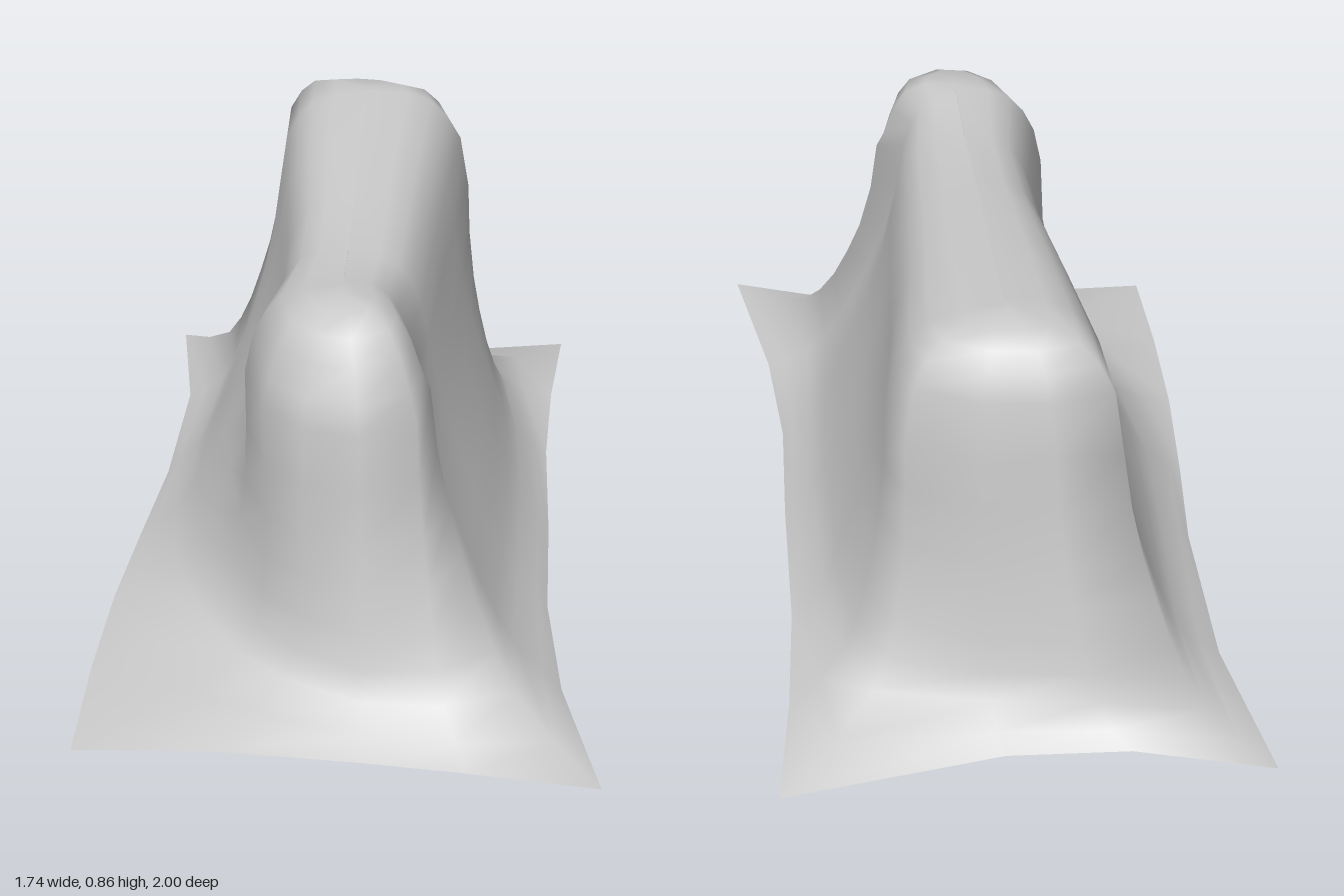
import * as THREE from 'three';
import { mergeVertices } from 'three/addons/utils/BufferGeometryUtils.js';

// Columns round the cloth: hem x, hem z, body x, body z, flare
// (flare above 1 hugs the body, below 1 slopes out to the hem)
const COLUMNS = [
  [0.09, -1.0, 0.19, -0.64, 1], [0.28, -0.79, 0.31, -0.58, 1],
  [0.47, -0.63, 0.41, -0.49, 1.3], [0.87, -0.43, 0.485, -0.36, 2.1],
  [0.7, -0.24, 0.45, -0.26, 1.3], [0.54, -0.04, 0.3, -0.095, 0.7],
  [0.35, 0.23, 0.14, 0.095, 0.6], [0.18, 0.46, -0.01, 0.275, 0.6],
  [0.04, 0.7, -0.11, 0.37, 0.7], [-0.09, 1.0, -0.14, 0.48, 1.1],
  [-0.26, 0.81, -0.21, 0.54, 1], [-0.42, 0.68, -0.33, 0.53, 1.3],
  [-0.65, 0.5, -0.405, 0.45, 2.6], [-0.87, 0.35, -0.425, 0.34, 3.4],
  [-0.73, 0.15, -0.39, 0.21, 2.1], [-0.58, -0.05, -0.25, 0.08, 0.85],
  [-0.42, -0.24, -0.14, -0.08, 0.6], [-0.26, -0.42, -0.03, -0.28, 0.6],
  [-0.05, -0.71, 0.09, -0.49, 0.8],
];
// Skirt levels: height, spread towards the hem
const SKIRT = [[0, 1], [0.025, 0.77], [0.07, 0.56], [0.13, 0.44], [0.2, 0.34],
  [0.29, 0.24], [0.38, 0.15], [0.5, 0.06], [0.62, 0]];
// Crown levels: drop below the ridge, shrink towards the ridge
const CROWN = [[0.11, 0.09], [0.06, 0.22], [0.025, 0.38], [0.006, 0.62], [0, 1]];

// Ridge line that the crown closes onto
const ridge = new THREE.Line3(new THREE.Vector3(-0.25, 0, 0.34), new THREE.Vector3(0.27, 0, -0.4));
const ridgeHeight = (t) => 0.798 + 0.062 * t + 0.03 * Math.max(0, 1 - t / 0.2);
const flareOut = (s, k) => (k >= 1 ? Math.pow(s, k) : 1 - Math.pow(1 - s, 1 / k));

function drapeGeometry() {
  const positions = [], index = [], n = COLUMNS.length;
  // Hem lies almost flat, with one lifted corner and one touching the floor
  const hem = (i) => (i === 9 ? 0.033 : i === 0 ? 0 : 0.012 + 0.004 * Math.sin(i * 2.3));

  for (const [height, spread] of SKIRT) {
    COLUMNS.forEach(([hx, hz, bx, bz, k], i) => {
      const w = flareOut(spread, k);
      positions.push(bx + (hx - bx) * w, hem(i) + height, bz + (hz - bz) * w);
    });
  }
  for (const [drop, shrink] of CROWN) {
    for (const [, , bx, bz] of COLUMNS) {
      const p = new THREE.Vector3(bx, 0, bz);
      const t = ridge.closestPointToPointParameter(p, true);
      p.lerp(ridge.at(t, new THREE.Vector3()), shrink);
      positions.push(p.x, ridgeHeight(t) - drop * (t === 0 ? 1.3 : 1), p.z);
    }
  }
  // Stitch neighbouring levels
  for (let l = 0; l < SKIRT.length + CROWN.length - 1; l++) {
    for (let i = 0; i < n; i++) {
      const a = l * n + i, b = l * n + (i + 1) % n;
      index.push(a, a + n, b, b, a + n, b + n);
    }
  }
  let geometry = new THREE.BufferGeometry();
  geometry.setAttribute('position', new THREE.Float32BufferAttribute(positions, 3));
  geometry.setIndex(index);
  geometry = mergeVertices(geometry, 1e-4);
  geometry.computeVertexNormals();
  return geometry;
}

export function createModel() {
  const group = new THREE.Group();
  group.name = 'drapedCover';
  // Open cloth shell, visible from both sides
  const cloth = new THREE.Mesh(drapeGeometry(),
    new THREE.MeshStandardMaterial({ color: 0xcccccc, side: THREE.DoubleSide }));
  cloth.name = 'cloth';
  group.add(cloth);
  return group;
}
